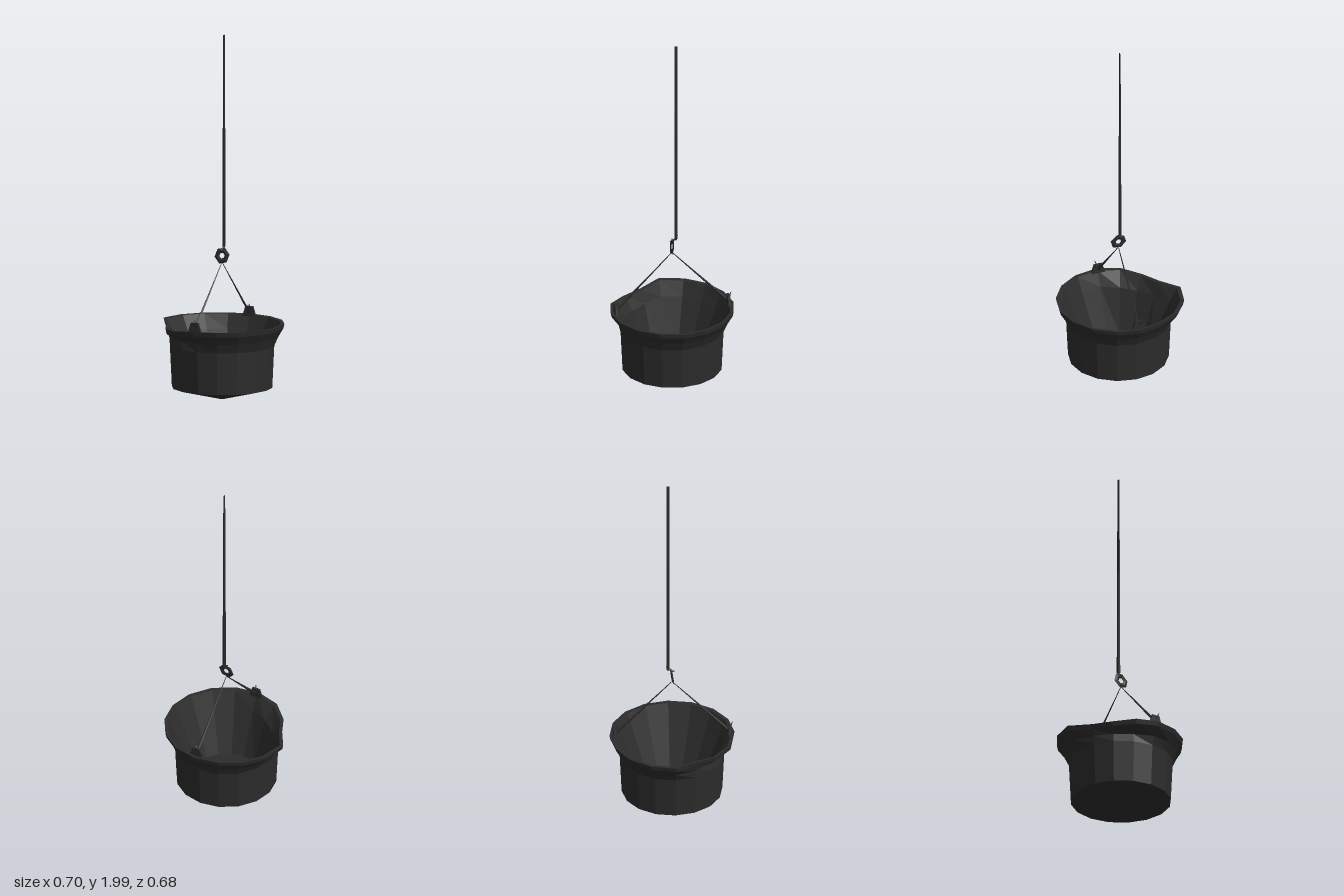
import * as THREE from 'three';

const CX = 0.01; // the hanging axis sits slightly off centre
const SIDES = 16;
const iron = new THREE.MeshStandardMaterial({ color: 0x2c2c2c, flatShading: true, side: THREE.DoubleSide });
iron.name = 'blackIron';

function add(parent, name, geometry) {
  const mesh = new THREE.Mesh(geometry, iron);
  mesh.name = name;
  parent.add(mesh);
  return mesh;
}

// Skin between successive rings: [radius, height, share of the rim's dents, extra pull-in under the lip]
function loftPot(rings) {
  const bulge = { 6: -0.06, 7: -0.1, 8: 0.06, 9: 0.05, 10: 0.03 };
  const sag = { 5: -0.01, 6: -0.02, 7: -0.012 };
  const pull = { 4: -0.03, 5: -0.1, 6: -0.08, 7: -0.03 };
  const positions = [];
  const index = [];
  rings.forEach(([r, y, dent, under]) => {
    for (let k = 0; k < SIDES; k++) {
      const a = (k / SIDES) * Math.PI * 2;
      const radius = r * (1 + dent * (bulge[k] || 0) + under * (pull[k] || 0));
      positions.push(CX + Math.cos(a) * radius, y + dent * (sag[k] || 0), Math.sin(a) * radius);
    }
  });
  for (let i = 0; i < rings.length - 1; i++) {
    for (let k = 0; k < SIDES; k++) {
      const a = i * SIDES + k;
      const b = i * SIDES + ((k + 1) % SIDES);
      index.push(a, a + SIDES, b + SIDES, a, b + SIDES, b);
    }
  }
  const g = new THREE.BufferGeometry();
  g.setAttribute('position', new THREE.Float32BufferAttribute(positions, 3));
  g.setIndex(index);
  g.computeVertexNormals();
  return g;
}

// Tapered rod between two points
function rod(parent, name, from, to, r0, r1, sides = 4) {
  const a = new THREE.Vector3(...from);
  const b = new THREE.Vector3(...to);
  const dir = b.clone().sub(a);
  const mesh = add(parent, name, new THREE.CylinderGeometry(r1, r0, dir.length(), sides));
  mesh.position.copy(a).lerp(b, 0.5);
  mesh.quaternion.setFromUnitVectors(new THREE.Vector3(0, 1, 0), dir.normalize());
  return mesh;
}

export function createModel() {
  const model = new THREE.Group();
  model.name = 'hangingCauldron';

  // Dented pot: cone base, wall, flared lip, then the inside down to the floor
  add(model, 'pot', loftPot([
    [0, 0.012, 0, 0],
    [0.272, 0.08, 0, 0],
    [0.283, 0.31, 0, 0],
    [0.305, 0.36, 0.3, 1],
    [0.332, 0.405, 1, 0],
    [0.338, 0.43, 1, 0],
    [0.318, 0.428, 1, 0],
    [0.285, 0.35, 0.5, 1],
    [0.18, 0.1, 0, 0],
    [0, 0.095, 0, 0],
  ]));

  // Rope, narrowing towards the top when seen from the front
  const ropeGeometry = new THREE.BoxGeometry(0.013, 1.15, 0.015);
  const p = ropeGeometry.attributes.position;
  for (let i = 0; i < p.count; i++) {
    if (p.getY(i) > 0) p.setX(i, p.getX(i) * 0.2);
  }
  add(model, 'rope', ropeGeometry).position.set(CX, 1.425, -0.022);

  // Hook joining the rope to the ring
  rod(model, 'hookShank', [CX, 0.86, -0.024], [CX, 0.835, -0.02], 0.008, 0.008);
  rod(model, 'hookTip', [CX, 0.845, -0.028], [CX, 0.825, 0.012], 0.007, 0.004);

  // Flat six-sided ring
  const ring = add(model, 'ring', new THREE.TorusGeometry(0.031, 0.015, 4, 6));
  ring.position.set(CX, 0.797, 0);
  ring.rotation.set(-0.15, 0, 0.2);
  ring.scale.z = 0.35;

  // Straps and lugs, front and back
  for (const s of [1, -1]) {
    rod(model, 'strap', [CX, 0.45, s * 0.3], [CX, 0.76, s * 0.002], 0.008, 0.002);

    const lug = new THREE.Group();
    lug.name = s > 0 ? 'frontLug' : 'backLug';
    lug.position.set(CX, 0, s * 0.31);
    const shape = new THREE.Shape([
      new THREE.Vector2(-0.04, 0.42), new THREE.Vector2(0.04, 0.42),
      new THREE.Vector2(0.022, 0.475), new THREE.Vector2(-0.022, 0.475),
    ]);
    const plate = new THREE.ExtrudeGeometry(shape, { depth: 0.012, bevelEnabled: false });
    plate.translate(0, 0, -0.006);
    add(lug, 'lugPlate', plate);
    for (const t of [-1, 1]) {
      rod(lug, 'lugProng', [0, 0.45, 0], [t * 0.012, 0.487, t * 0.018], 0.007, 0.001);
    }
    model.add(lug);
  }
  return model;
}
